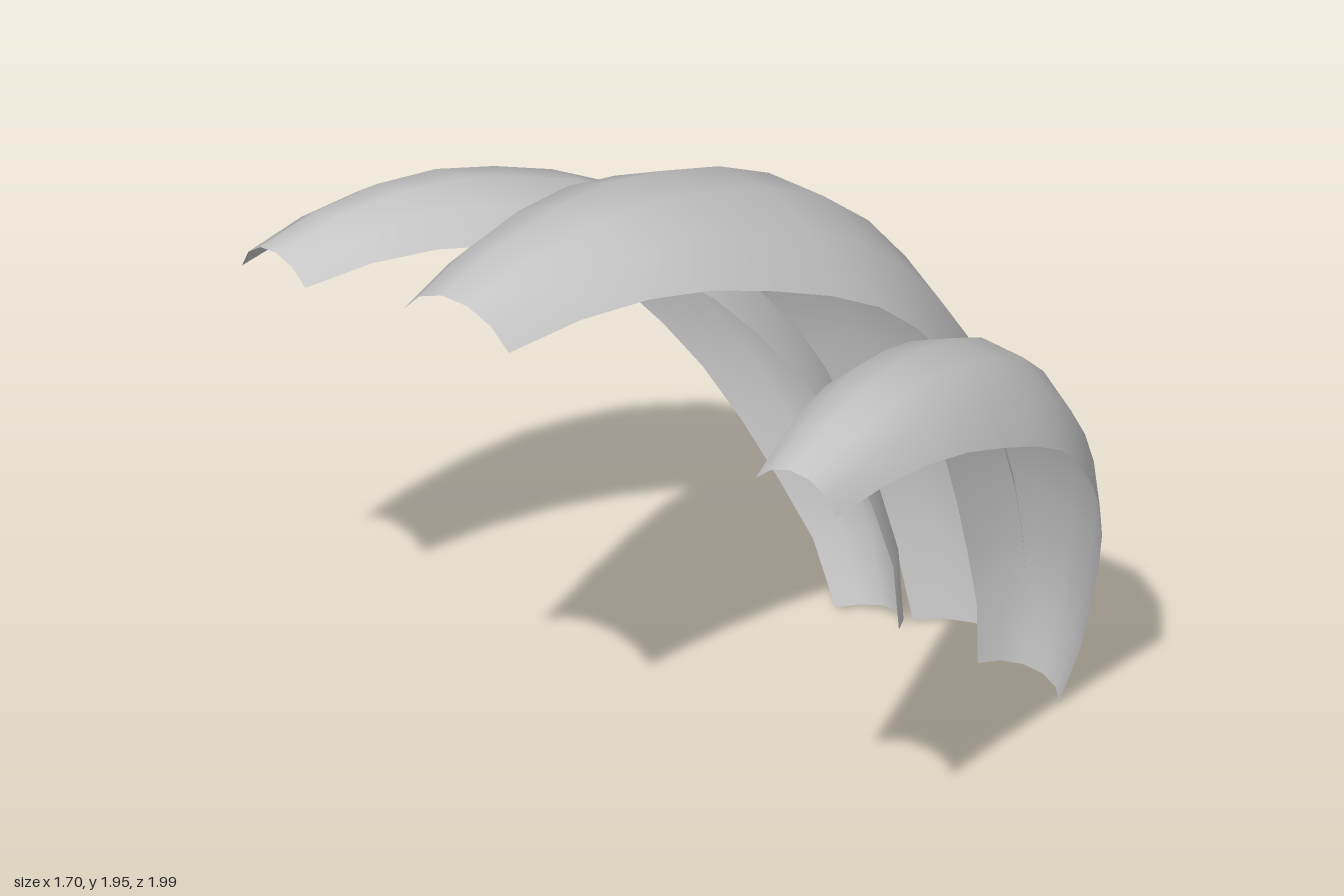
import * as THREE from 'three';

const material = new THREE.MeshStandardMaterial({ color: 0xcccccc, side: THREE.DoubleSide });

// Ridge line of a leaf as [z, y], from the base to the drooping tip
const ridge = new THREE.CatmullRomCurve3([
  [-0.99, 0], [-1, 0.19], [-0.95, 0.45], [-0.88, 0.7], [-0.79, 0.93],
  [-0.67, 1.14], [-0.53, 1.33], [-0.38, 1.5], [-0.21, 1.635], [-0.02, 1.74],
  [0.17, 1.825], [0.38, 1.9], [0.6, 1.94], [0.8, 1.95], [1, 1.935],
].map(([z, y]) => new THREE.Vector3(0, y, z)));

// Thin curved sheet: a circular-arc section swept along the ridge, widest halfway
function leafGeometry() {
  const geometry = new THREE.PlaneGeometry(1, 1, 5, 14);
  const pos = geometry.attributes.position;
  const depthRatio = 0.59;
  const halfAngle = 2 * Math.atan(depthRatio);
  for (let i = 0; i < pos.count; i++) {
    const t = THREE.MathUtils.clamp(pos.getY(i) + 0.5, 0, 1);
    const angle = -2 * pos.getX(i) * halfAngle;
    const halfWidth = 0.15 + 0.178 * Math.sin(Math.PI * t);
    const radius = halfWidth / Math.sin(halfAngle);
    const drop = radius * (1 - Math.cos(angle));
    const p = ridge.getPointAt(t);
    const tan = ridge.getTangentAt(t);
    pos.setXYZ(i, radius * Math.sin(angle), p.y - tan.z * drop, p.z + tan.y * drop);
  }
  geometry.computeVertexNormals();
  return geometry;
}

export function createModel() {
  const group = new THREE.Group();
  const geometry = leafGeometry();

  const centre = new THREE.Mesh(geometry, material);
  centre.name = 'centreLeaf';
  group.add(centre);

  // Smaller, narrower leaves leaning outward on both sides
  for (const [name, s] of [['leftLeaf', 1], ['rightLeaf', -1]]) {
    const leaf = new THREE.Mesh(geometry, material);
    leaf.name = name;
    leaf.scale.set(0.71, 0.835, 0.835);
    leaf.rotation.set(0, 0.157 * s, -0.187 * s);
    leaf.position.set(0.333 * s, 0.025, -0.073);
    group.add(leaf);
  }
  return group;
}
